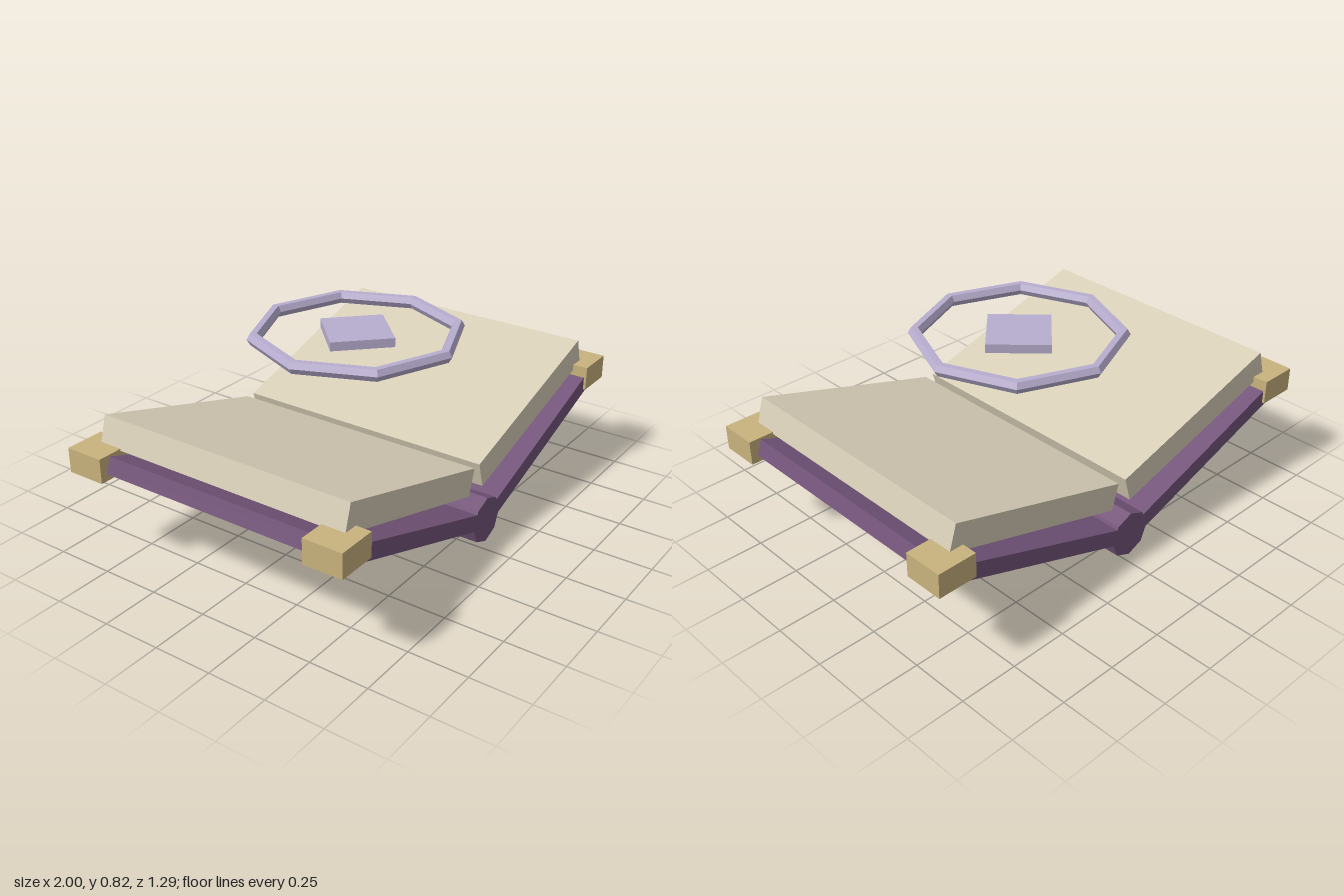
import * as THREE from 'three';

const material = (name, color) => {
  const m = new THREE.MeshStandardMaterial({ color, flatShading: true });
  m.name = name;
  return m;
};

export function createModel() {
  const leather = material('purple leather', 0x74557a);
  const gold = material('gold', 0xc9b37e);
  const paper = material('parchment', 0xd8cfb8);
  const crystal = material('lilac crystal', 0xb8adcf);

  const book = new THREE.Group();
  book.name = 'openBook';

  const add = (name, geometry, mat, x, y, z) => {
    const mesh = new THREE.Mesh(geometry, mat);
    mesh.name = name;
    mesh.position.set(x, y, z);
    book.add(mesh);
    return mesh;
  };

  // Eight-sided rod lying along z
  const rod = (radius, length) =>
    new THREE.CylinderGeometry(radius, radius, length, 8).rotateX(Math.PI / 2);

  // Spine and its three raised bands
  add('spine', rod(0.1, 1.27), leather, 0, 0.139, 0);
  for (const z of [-0.425, 0, 0.425]) add('spineBand', rod(0.124, 0.104), gold, 0, 0.124, z);

  // Covers, page blocks and corner fittings on both sides
  const coverTilt = 0.333;
  const coverLength = 0.95;
  for (const side of [-1, 1]) {
    const label = side > 0 ? 'left' : 'right';

    const cover = add(label + 'Cover', new THREE.BoxGeometry(coverLength, 0.07, 1.27), leather,
      side * (0.959 - Math.cos(coverTilt) * coverLength / 2),
      0.464 - Math.sin(coverTilt) * coverLength / 2, 0);
    cover.rotation.z = side * coverTilt;

    const pages = add(label + 'Pages', new THREE.BoxGeometry(0.875, 0.117, 1.16), paper,
      side * 0.456, 0.431, 0);
    pages.rotation.z = side * 0.285;

    for (const end of [-1, 1]) {
      add(label + 'Corner', new THREE.BoxGeometry(0.17, 0.104, 0.168), gold,
        side * 0.915, 0.453, end * 0.562);
    }
  }

  // Floating ring with a thin diamond in its middle
  add('ring', new THREE.TorusGeometry(0.42, 0.028, 6, 8).rotateX(Math.PI / 2), crystal, 0, 0.799, 0);
  add('diamond', new THREE.CylinderGeometry(0.185, 0.185, 0.038, 4), crystal, 0, 0.799, 0);

  return book;
}
